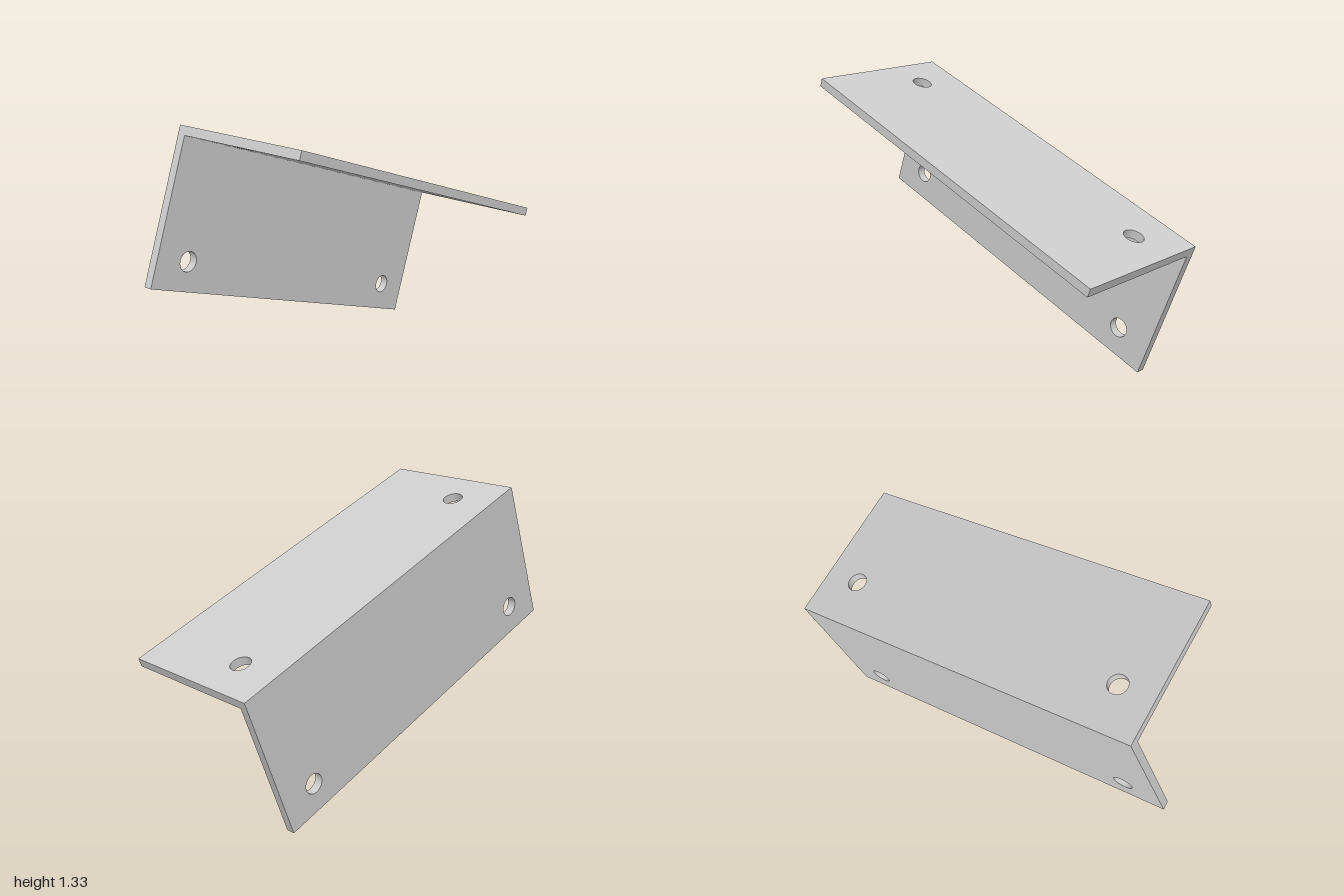
import * as THREE from 'three';

const LENGTH = 1.857, SIZE = 0.74, THICK = 0.043, TILT = THREE.MathUtils.degToRad(20);
const HOLE_R = 0.0485, HOLE_Z = 0.743;

// Upright plate running along z, thickness toward -x, with a hole near each end
function plateGeometry(from, to, holeAt) {
  const h = LENGTH / 2;
  const shape = new THREE.Shape([
    new THREE.Vector2(-h, from), new THREE.Vector2(h, from),
    new THREE.Vector2(h, to), new THREE.Vector2(-h, to),
  ]);
  for (const side of [-1, 1]) {
    shape.holes.push(new THREE.Path().absarc(side * HOLE_Z, holeAt, HOLE_R, 0, Math.PI * 2, true));
  }
  return new THREE.ExtrudeGeometry(shape, { depth: THICK, bevelEnabled: false, curveSegments: 32 })
    .rotateY(-Math.PI / 2);
}

export function createModel() {
  const model = new THREE.Group();
  model.name = 'angleBracket';
  const material = new THREE.MeshStandardMaterial({ color: 0xcccccc });
  const half = SIZE / 2, inner = half - THICK;

  const bracket = new THREE.Group();
  bracket.name = 'tiltedBracket';

  // Vertical leg
  const wall = new THREE.Mesh(plateGeometry(-half, inner, -0.228), material);
  wall.name = 'sideFlange';
  wall.position.x = -inner;

  // Horizontal leg across the top
  const top = new THREE.Mesh(plateGeometry(-half, half, -0.14).rotateZ(-Math.PI / 2), material);
  top.name = 'topFlange';
  top.position.y = inner;

  bracket.add(wall, top);
  bracket.rotation.x = -TILT; // front end raised
  bracket.position.y = (LENGTH * Math.sin(TILT) + SIZE * Math.cos(TILT)) / 2;
  model.add(bracket);
  return model;
}
